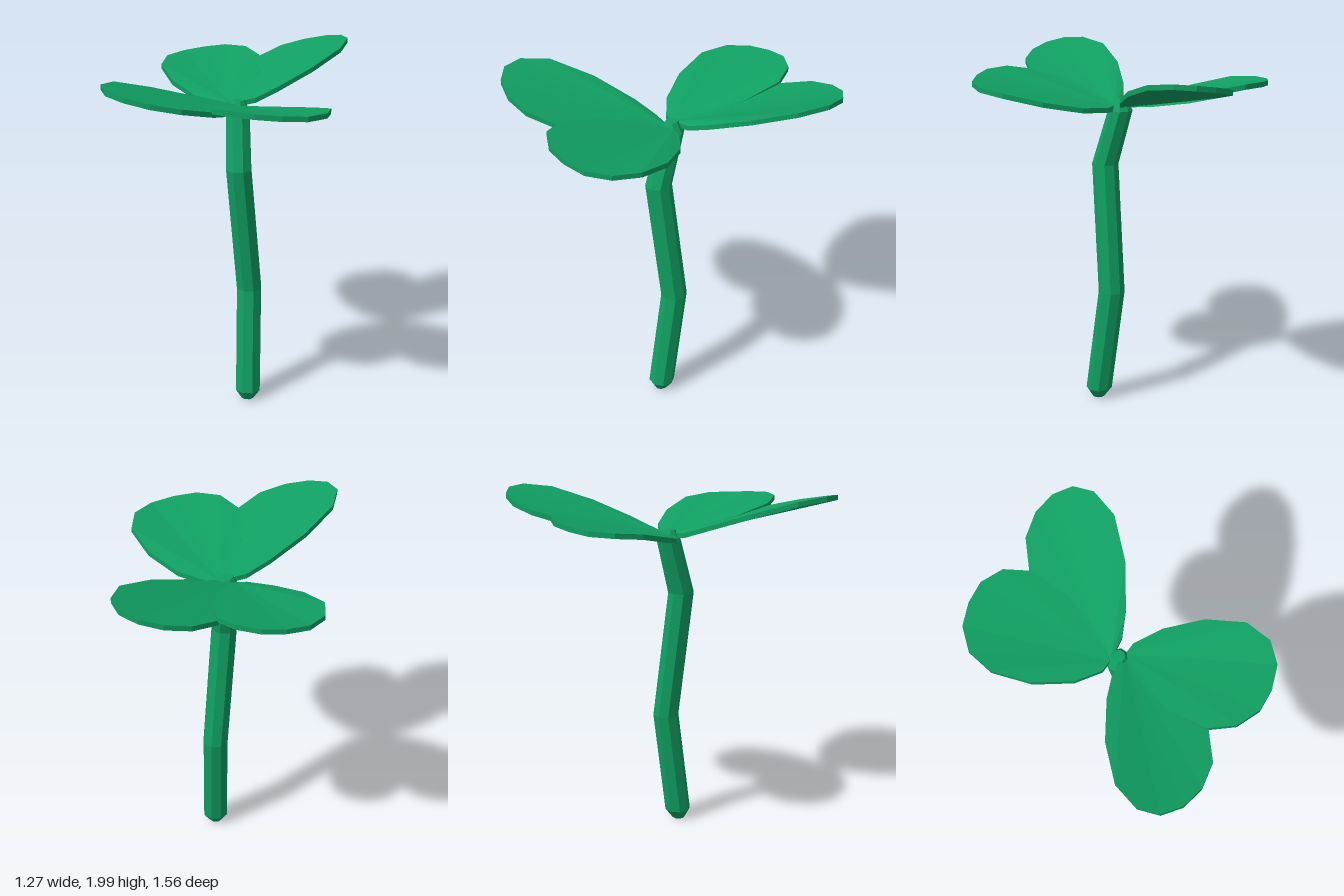
import * as THREE from 'three';

const green = new THREE.MeshStandardMaterial({ color: 0x10a062, flatShading: true });
green.name = 'leafGreen';

// Facetted mesh from corner triples
function facetMesh(name, triangles) {
  const geometry = new THREE.BufferGeometry();
  geometry.setAttribute('position', new THREE.Float32BufferAttribute(triangles.flat(2), 3));
  geometry.computeVertexNormals();
  const mesh = new THREE.Mesh(geometry, green);
  mesh.name = name;
  return mesh;
}

// Thin slab fanned out from its first point, with a rim all round
function leaf(name, outline, thickness = 0.028) {
  const low = ([x, y, z]) => [x, y - thickness, z];
  const base = outline[0];
  const tris = [];
  outline.forEach((a, i) => {
    const b = outline[(i + 1) % outline.length];
    if (i > 0 && i < outline.length - 1) {
      tris.push([base, a, b], [low(base), low(b), low(a)]);
    }
    tris.push([a, low(a), low(b)], [a, low(b), b]);
  });
  return facetMesh(name, tris);
}

// Eight-sided stem lofted through rings of [x, y, z, radius]
function stem(rings, sides = 8) {
  const point = ([x, y, z, r], i) => {
    const t = ((i + 0.5) / sides) * Math.PI * 2;
    return [x + Math.sin(t) * r, y, z + Math.cos(t) * r];
  };
  const tris = [];
  const first = rings[0], last = rings[rings.length - 1];
  for (let i = 0; i < sides; i++) {
    for (let k = 0; k < rings.length - 1; k++) {
      const a = point(rings[k], i), b = point(rings[k], i + 1);
      const c = point(rings[k + 1], i + 1), d = point(rings[k + 1], i);
      tris.push([a, b, c], [a, c, d]);
    }
    tris.push([first.slice(0, 3), point(first, i + 1), point(first, i)]);
    tris.push([last.slice(0, 3), point(last, i), point(last, i + 1)]);
  }
  return facetMesh('stem', tris);
}

// Broad leaf that lies over its neighbour
const broadOutline = [
  [0.07, 1.74, 0.02], [0.02, 1.75, 0.07], [-0.03, 1.78, 0.17], [-0.09, 1.83, 0.39],
  [-0.075, 1.878, 0.61], [0.02, 1.902, 0.73], [0.155, 1.9, 0.78], [0.29, 1.888, 0.765],
  [0.42, 1.875, 0.715], [0.515, 1.867, 0.61], [0.535, 1.85, 0.455], [0.445, 1.802, 0.26],
  [0.29, 1.757, 0.1], [0.14, 1.74, 0.02],
];

// Steeper leaf whose inner edge is tucked underneath
const steepOutline = [
  [0.06, 1.74, 0.02], [-0.08, 1.763, 0.04], [-0.21, 1.812, 0.1], [-0.42, 1.895, 0.24],
  [-0.59, 1.967, 0.42], [-0.635, 1.99, 0.58], [-0.595, 1.985, 0.69], [-0.495, 1.967, 0.755],
  [-0.36, 1.94, 0.775], [-0.21, 1.908, 0.74], [-0.065, 1.864, 0.62], [-0.03, 1.81, 0.42],
  [0.0, 1.77, 0.21], [0.04, 1.748, 0.07],
];

export function createModel() {
  const model = new THREE.Group();
  model.name = 'seedling';

  model.add(stem([
    [0.095, 0.01, 0.115, 0.036], [0.097, 0.065, 0.11, 0.074], [0.097, 0.67, 0.027, 0.074],
    [0.04, 1.4, 0.093, 0.074], [0.03, 1.71, 0.004, 0.068], [0.03, 1.77, 0.005, 0.035],
  ]));

  // Front pair, then the same pair turned round for the back
  const front = new THREE.Group();
  front.name = 'frontLeaves';
  front.add(leaf('broadLeaf', broadOutline), leaf('steepLeaf', steepOutline));
  const back = front.clone();
  back.name = 'backLeaves';
  back.scale.set(-0.92, 1, -1);
  back.position.set(0.052, 0.008, 0);
  model.add(front, back);
  return model;
}
